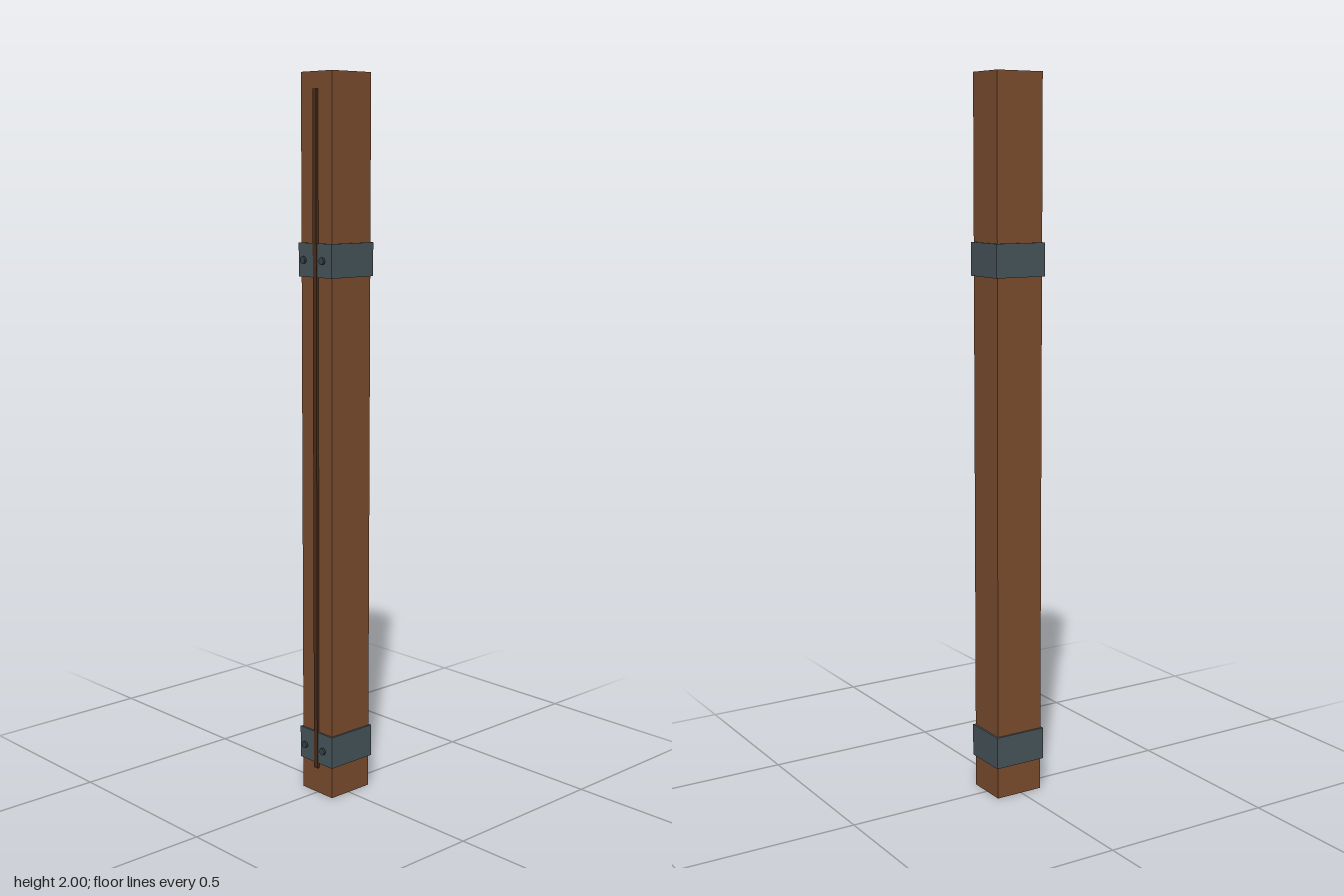
import * as THREE from 'three';

const paint = (color) => new THREE.MeshStandardMaterial({ color });

export function createModel() {
  const group = new THREE.Group();
  const wood = paint(0x7a4c2e);
  const darkWood = paint(0x4a2c1a);
  const iron = paint(0x465459);
  const boltIron = paint(0x384348);
  const axisZ = -0.0065; // the beam sits slightly behind the centre

  const add = (name, geometry, material, x, y, z) => {
    const mesh = new THREE.Mesh(geometry, material);
    mesh.name = name;
    mesh.position.set(x, y, z);
    group.add(mesh);
    return mesh;
  };

  // Square timber
  add('post', new THREE.BoxGeometry(0.12, 2, 0.142), wood, 0, 1, axisZ);

  // Thin strip running down the front
  add('frontStrip', new THREE.BoxGeometry(0.014, 1.88, 0.008), darkWood, 0, 1.015, 0.068);

  // Iron bands, each with a pair of bolt heads standing off the front
  const bandGeometry = new THREE.BoxGeometry(0.131, 0.091, 0.153);
  const boltGeometry = new THREE.CylinderGeometry(0.01, 0.01, 0.006, 10).rotateX(Math.PI / 2);
  for (const [level, y] of [['lower', 0.136], ['upper', 1.507]]) {
    add(level + 'Band', bandGeometry, iron, 0, y, axisZ);
    for (const side of [-1, 1]) {
      add(level + (side > 0 ? 'LeftBolt' : 'RightBolt'), boltGeometry, boltIron, side * 0.037, y, 0.08);
    }
  }
  return group;
}
